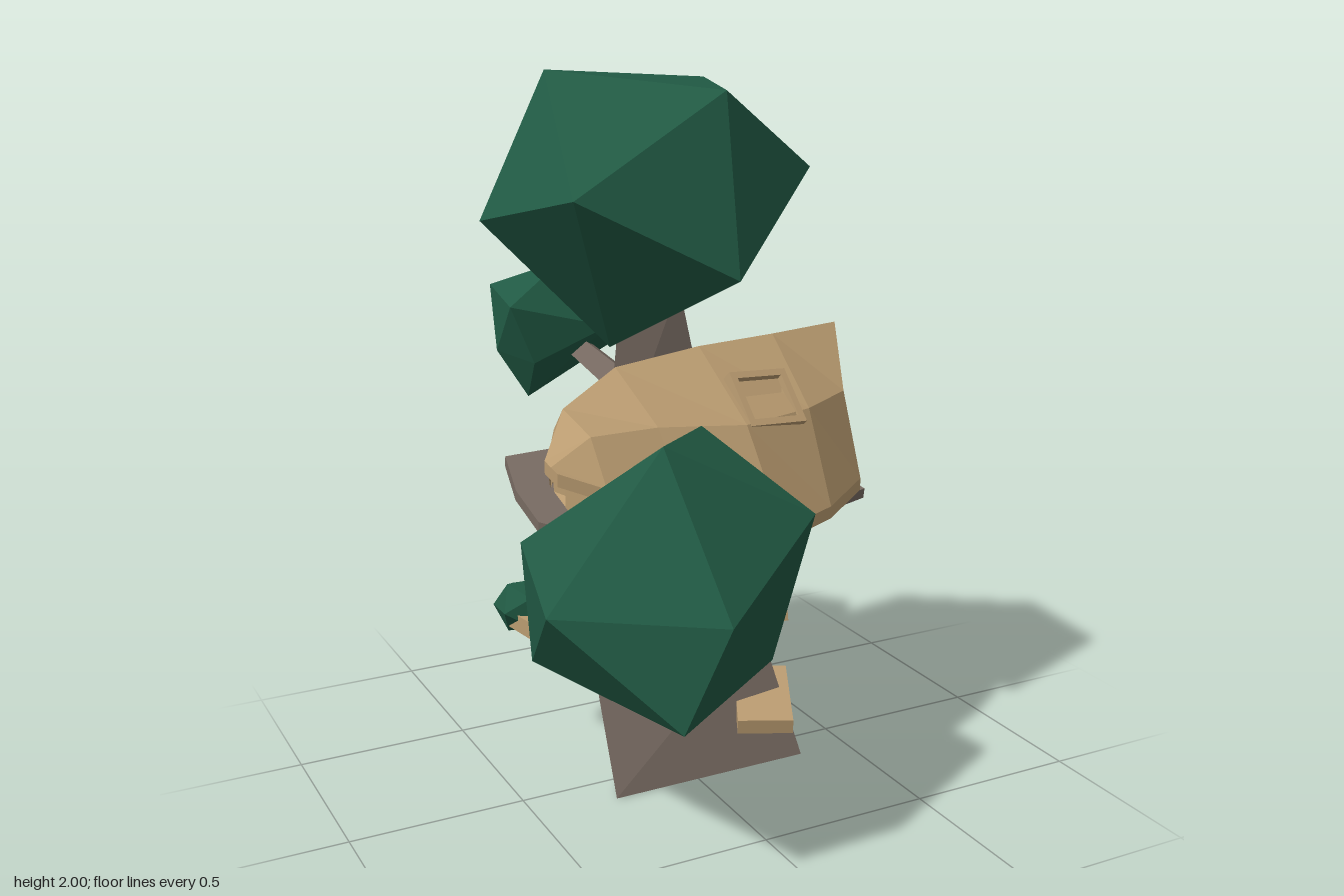
import * as THREE from 'three';
import { ConvexGeometry } from 'three/addons/geometries/ConvexGeometry.js';

const mat = (color, side = THREE.FrontSide) =>
  new THREE.MeshStandardMaterial({ color, side, flatShading: true });
const leaf = mat(0x215a44);
const bark = mat(0x786b62);
const wood = mat(0xb99b70);
const woodOpen = mat(0xb99b70, THREE.DoubleSide);

const V = (p) => new THREE.Vector3(...p);

// Joins equal-length rings of points into a faceted skin, with optional end caps
function loft(rings, caps = true) {
  const pos = [];
  const n = rings[0].length;
  const quad = (a, b, c, d) => [a, b, c, a, c, d].forEach((p) => pos.push(p.x, p.y, p.z));
  for (let s = 0; s < rings.length - 1; s++) {
    for (let i = 0; i < n; i++) {
      const j = (i + 1) % n;
      quad(rings[s][i], rings[s][j], rings[s + 1][j], rings[s + 1][i]);
    }
  }
  if (caps) {
    const first = [...rings[0]].reverse();
    for (const r of [first, rings[rings.length - 1]]) {
      for (let i = 0; i < n / 2 - 1; i++) quad(r[i], r[i + 1], r[n - 2 - i], r[n - 1 - i]);
    }
  }
  const g = new THREE.BufferGeometry();
  g.setAttribute('position', new THREE.Float32BufferAttribute(pos, 3));
  g.computeVertexNormals();
  return g;
}

export function createModel() {
  const model = new THREE.Group();
  const add = (name, geo, material, parent = model) => {
    const m = new THREE.Mesh(geo, material);
    m.name = name;
    parent.add(m);
    return m;
  };

  // Three-sided trunk, twisting and tapering upward
  add('trunk', loft([
    [[-0.26, 0, 0.11], [0.345, 0, 0.11], [0.045, 0, -0.41]],
    [[-0.25, 0.38, -0.08], [0.27, 0.38, -0.02], [0.045, 0.38, -0.375]],
    [[-0.18, 0.8, -0.14], [0.19, 0.8, -0.12], [0.01, 0.8, -0.34]],
    [[-0.1, 1.4, -0.17], [0.06, 1.4, -0.13], [-0.04, 1.4, -0.27]],
  ].map((r) => r.map(V))), bark);

  // Branches
  const branch = (name, from, to, r0, r1) => {
    const a = V(from), dir = V(to).sub(a);
    const m = add(name, new THREE.CylinderGeometry(r1, r0, dir.length(), 4), bark);
    m.position.copy(a).addScaledVector(dir, 0.5);
    m.quaternion.setFromUnitVectors(new THREE.Vector3(0, 1, 0), dir.normalize());
  };
  branch('frontBranch', [0, 0.37, -0.06], [-0.08, 0.65, 0.24], 0.085, 0.045);
  branch('backBranch', [-0.06, 1.1, -0.22], [-0.14, 1.22, -0.55], 0.05, 0.035);
  branch('rightBranch', [-0.14, 0.38, -0.18], [-0.36, 0.43, -0.3], 0.03, 0.02);

  // Irregular faceted leaf clumps
  const clump = (name, pts) => add(name, new ConvexGeometry(pts.map(V)), leaf);
  clump('topFoliage', [
    [-0.55, 1.63, -0.06], [-0.33, 2, -0.14], [0.14, 1.97, -0.14], [0.29, 1.75, 0.18],
    [0.05, 1.36, -0.06], [-0.21, 1.275, -0.01], [-0.4, 1.7, 0.2], [0, 1.96, 0.25],
    [0, 1.49, 0.33], [0.23, 1.64, -0.32], [-0.12, 1.8, -0.46], [-0.15, 1.49, -0.48],
  ]);
  clump('frontFoliage', [
    [-0.62, 0.75, 0.5], [-0.29, 1.13, 0.47], [-0.1, 1.12, 0.31], [0.12, 0.91, 0.52],
    [0.07, 0.47, 0.4], [-0.1, 0.4, -0.01], [0.1, 0.66, -0.04], [0.12, 0.88, 0.32],
    [-0.25, 0.75, 0.76], [-0.36, 0.48, 0.72], [-0.54, 0.51, 0.2], [-0.54, 0.82, 0.14],
  ]);
  clump('sideFoliage', [
    [0.3, 0.98, -0.51], [0.15, 1.02, -0.25], [0.61, 0.89, -0.47], [0.62, 0.66, -0.2],
    [0.36, 0.75, -0.04], [0.13, 0.72, -0.01], [0.37, 0.41, -0.24], [0.3, 0.7, -0.68],
    [0.12, 0.52, -0.64], [0.05, 0.84, -0.53], [0.06, 0.6, -0.2],
  ]);
  clump('backFoliage', [
    [-0.14, 1.43, -0.5], [-0.35, 1.33, -0.38], [-0.29, 1.34, -0.7], [-0.03, 1.29, -0.76],
    [0.05, 1.34, -0.6], [0.07, 1.2, -0.49], [-0.18, 1.12, -0.72], [-0.25, 1.03, -0.51],
    [-0.33, 1.17, -0.55], [-0.05, 1.25, -0.37], [-0.28, 1.16, -0.38],
  ]);
  const sprig = add('smallFoliage', new THREE.IcosahedronGeometry(0.085, 0), leaf);
  sprig.position.set(-0.37, 0.46, -0.3);

  // Climbing planks: size, centre, pitch, yaw
  [
    [[0.16, 0.045, 0.28], [0.25, 0.17, 0.04], 0.18, -0.45],
    [[0.17, 0.05, 0.29], [0.25, 0.41, -0.08], -0.25, -0.15],
    [[0.18, 0.05, 0.24], [-0.3, 0.42, -0.2], 0.12, 0.3],
  ].forEach(([size, at, pitch, yaw], i) => {
    const p = add('plank' + (i + 1), new THREE.BoxGeometry(...size), wood);
    p.position.set(...at);
    p.rotation.set(pitch, yaw, 0, 'YXZ');
  });

  const house = new THREE.Group();
  house.name = 'house';
  model.add(house);

  // Platform around the trunk, rising toward the back
  const deck = new THREE.Shape([
    [0.52, 0.14], [0.47, -0.17], [0.12, -0.36], [-0.25, -0.37], [-0.39, -0.36],
    [-0.44, -0.15], [-0.45, 0.04], [-0.3, 0.2], [0.1, 0.26],
  ].map(([x, z]) => new THREE.Vector2(x, -z)));
  const platform = add('platform',
    new THREE.ExtrudeGeometry(deck, { depth: 0.03, bevelEnabled: false }), bark, house);
  platform.rotation.x = -Math.PI / 2 + 0.18;
  platform.position.y = 0.81;

  // Back eave, ridge and front eave along the house, from its right to its left
  const stations = [
    [[-0.38, 0.99, 0], [-0.48, 1.04, 0.17], [-0.47, 1.02, 0.23]],
    [[-0.33, 0.88, -0.16], [-0.38, 1.14, 0.06], [-0.36, 0.98, 0.29]],
    [[-0.2, 0.85, -0.26], [-0.2, 1.22, 0], [-0.15, 0.9, 0.34]],
    [[0.05, 0.87, -0.3], [0.06, 1.25, -0.01], [0.1, 0.83, 0.39]],
    [[0.24, 0.93, -0.3], [0.3, 1.26, -0.02], [0.32, 0.83, 0.28]],
    [[0.39, 1, -0.28], [0.52, 1.27, -0.04], [0.5, 0.85, 0.15]],
  ].map((s) => s.map(V));

  // Curved roof shell
  const roofRing = ([back, ridge, front], k) => {
    const tuck = k === 5 ? -0.04 : 0;
    const bulge = k === 0 ? 0 : 0.04;
    const mid = (a, z) => a.clone().lerp(ridge, 0.5).add(V([tuck, bulge, z]));
    const outer = [back, mid(back, -0.015), ridge, mid(front, bulge), front];
    const inner = outer.map((p) => p.clone().add(V([0, -0.035, 0]))).reverse();
    return [...outer, ...inner];
  };
  add('roof', loft(stations.map(roofRing)), wood, house);

  // Walls under the roof
  const wallRing = ([back, ridge, front], k) => {
    const dx = k === 0 ? 0.1 : k === 5 ? -0.06 : 0;
    const b = back.clone().lerp(ridge, 0.25), f = front.clone().lerp(ridge, 0.25);
    const at = (p, y) => new THREE.Vector3(p.x + dx, y, p.z);
    return [at(b, 0.86), at(b, b.y - 0.02), at(ridge, ridge.y - 0.04), at(f, f.y - 0.02), at(f, 0.82)];
  };
  const walls = stations.map(wallRing);
  add('walls', loft(walls, false), woodOpen, house);

  // Gable ends, one with a window opening
  const gable = (name, ring, x, hole) => {
    const shape = new THREE.Shape(ring.map((p) => new THREE.Vector2(-p.z, p.y)));
    if (hole) shape.holes.push(new THREE.Path(hole.map((p) => new THREE.Vector2(...p))));
    const g = add(name, new THREE.ExtrudeGeometry(shape, { depth: 0.03, bevelEnabled: false }), wood, house);
    g.rotation.y = Math.PI / 2;
    g.position.x = x;
  };
  gable('rightGable', walls[0], -0.37);
  gable('leftGable', walls[5], 0.4, [[0, 0.88], [0, 1.04], [0.13, 1.06], [0.14, 0.89]]);
  const pane = add('windowPane', new THREE.BoxGeometry(0.015, 0.2, 0.16), wood, house);
  pane.position.set(0.37, 0.97, -0.085);

  // Skylight frame set into the front slope, with a sunken pane
  const skylight = new THREE.Group();
  skylight.name = 'skylight';
  skylight.position.set(0.18, 1.11, 0.14);
  skylight.rotation.set(-0.75, 0.2, -0.1, 'YXZ');
  house.add(skylight);
  for (const s of [-1, 1]) {
    add('frameSide', new THREE.BoxGeometry(0.02, 0.17, 0.06), wood, skylight).position.x = s * 0.085;
    add('frameRail', new THREE.BoxGeometry(0.17, 0.02, 0.06), wood, skylight).position.y = s * 0.075;
  }
  add('skylightPane', new THREE.BoxGeometry(0.15, 0.13, 0.02), wood, skylight);

  return model;
}
